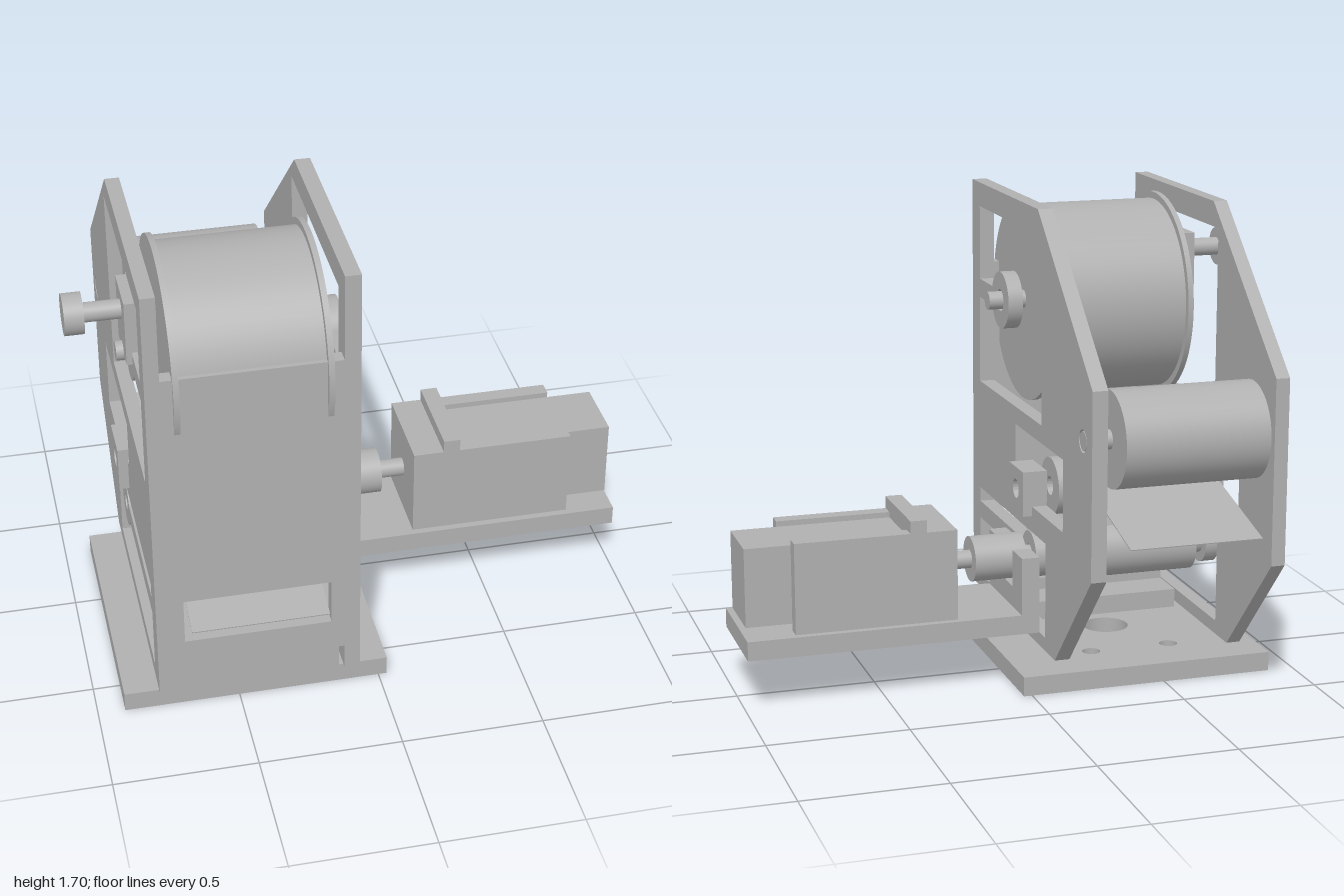
import * as THREE from 'three';
import { toCreasedNormals } from 'three/addons/utils/BufferGeometryUtils.js';

export function createModel() {
  const model = new THREE.Group();
  model.name = 'rollFeeder';
  const grey = new THREE.MeshStandardMaterial({ color: 0xb0b0b0 });
  grey.name = 'plain grey';

  const add = (name, geometry) => {
    const mesh = new THREE.Mesh(geometry, grey);
    mesh.name = name;
    model.add(mesh);
    return mesh;
  };
  // Box given by its limits on each axis
  const box = (name, x0, x1, y0, y1, z0, z1) =>
    add(name, new THREE.BoxGeometry(x1 - x0, y1 - y0, z1 - z0)
      .translate((x0 + x1) / 2, (y0 + y1) / 2, (z0 + z1) / 2));
  // Round bar along x
  const rod = (name, x0, x1, y, z, r) =>
    add(name, new THREE.CylinderGeometry(r, r, x1 - x0, 64)
      .rotateZ(Math.PI / 2).translate((x0 + x1) / 2, y, z));
  const poly = (pts) => new THREE.Shape(pts.map((p) => new THREE.Vector2(...p)));
  const rect = (a0, a1, b0, b1) => poly([[a0, b0], [a1, b0], [a1, b1], [a0, b1]]);
  const circle = (a, b, r) => {
    const s = new THREE.Shape();
    s.absarc(a, b, r, 0, Math.PI * 2);
    return s;
  };
  const extrude = (shape, holes, depth) => {
    shape.holes.push(...holes);
    return toCreasedNormals(new THREE.ExtrudeGeometry(shape,
      { depth, bevelEnabled: false, curveSegments: 32 }), 0.5);
  };
  // Outline in (z, y), extruded along x
  const slab = (name, x0, x1, shape, holes) =>
    add(name, extrude(shape, holes, x1 - x0).rotateY(-Math.PI / 2).translate(x1, 0, 0));
  // Thin sloping sheet between two points in (z, y)
  const sheet = (name, x0, x1, z0, y0, z1, y1) => {
    const mesh = add(name, new THREE.BoxGeometry(x1 - x0, 0.004, Math.hypot(z1 - z0, y1 - y0)));
    mesh.position.set((x0 + x1) / 2, (y0 + y1) / 2, (z0 + z1) / 2);
    mesh.rotation.x = -Math.atan2(y1 - y0, z1 - z0);
  };

  // Base plate with its mounting holes
  const cx = -0.44, cz = 0.165;
  const baseHoles = [circle(cx, -cz, 0.085)];
  for (const i of [-1, 1]) for (const j of [-1, 1])
    baseHoles.push(circle(cx + i * 0.15, -cz + j * 0.27, 0.033));
  add('basePlate', extrude(rect(-0.905, 0.03, -0.635, 0.305), baseHoles, 0.07).rotateX(-Math.PI / 2));
  box('baseBlock', -0.735, -0.145, 0.07, 0.215, 0.36, 0.64);
  box('baseLedge', -0.735, -0.145, 0.1, 0.17, 0.21, 0.36);

  // Two side plates, with arms that carry the shafts in the windows
  for (const [side, x0, x1] of [['right', -0.79, -0.74], ['left', -0.14, -0.085]]) {
    slab(side + 'SidePlate', x0, x1,
      poly([[0.71, 0.12], [0.71, 1.7], [-0.09, 1.7], [-0.68, 1.18], [-0.68, 0.52], [-0.3, 0.12]]), [
        rect(-0.14, 0.615, 0.94, 1.61),
        rect(-0.38, 0.165, 0.615, 0.875),
        rect(-0.19, 0.615, 0.17, 0.52),
        circle(-0.585, 0.99, 0.04),
      ]);
    box(side + 'SpoolArm', x0, x1, 1.265, 1.335, 0.44, 0.62);
    slab(side + 'SpoolHub', x0, x1, circle(0.355, 1.3, 0.105), [circle(0.355, 1.3, 0.04)]);
    box(side + 'DriveArm', x0, x1, 0.4, 0.465, 0.07, 0.62);
    slab(side + 'DriveHub', x0, x1, circle(0, 0.43, 0.085), [circle(0, 0.43, 0.036)]);
    const out = side === 'right' ? [-0.825, -0.74] : [-0.14, -0.05];
    slab(side + 'BearingBlock', out[0], out[1], rect(-0.035, 0.13, 0.58, 0.745),
      [circle(0.05, 0.665, 0.035)]);
    box(side + 'BearingGuide', x0, x1, 0.61, 0.7, 0.125, 0.166);
  }

  // Front panel with the exit slot
  add('frontPanel', extrude(rect(-0.741, -0.139, 0.215, 1.39),
    [rect(-0.695, -0.185, 0.33, 0.5)], 0.05).translate(0, 0, 0.66));

  // Large spool
  rod('spoolDrum', -0.69, -0.185, 1.3, 0.355, 0.35);
  rod('spoolRimRight', -0.7, -0.68, 1.3, 0.355, 0.375);
  rod('spoolRimLeft', -0.195, -0.175, 1.3, 0.355, 0.375);
  rod('spoolAxle', -0.835, -0.035, 1.3, 0.355, 0.033);

  // Hand knob on its bracket
  slab('knobBracket', -0.81, -0.74, rect(0.26, 0.45, 1.3, 1.53), []);
  rod('knobShaft', -0.95, -0.7, 1.46, 0.355, 0.033);
  rod('knobCollar', -0.72, -0.7, 1.46, 0.355, 0.045);
  rod('knob', -1, -0.935, 1.46, 0.355, 0.07);

  // Rear roller
  rod('rearRoller', -0.695, -0.18, 0.99, -0.585, 0.17);
  rod('rearAxle', -0.789, -0.086, 0.99, -0.585, 0.034);

  // Pinch roller (hollow) and drive roller
  slab('pinchRoller', -0.695, -0.18, circle(0.05, 0.665, 0.105), [circle(0.05, 0.665, 0.035)]);
  rod('driveRoller', -0.695, -0.18, 0.43, 0, 0.105);
  slab('driveShaftSleeve', -0.79, -0.69, circle(0, 0.43, 0.05), [circle(0, 0.43, 0.03)]);

  // Guide sheets
  sheet('upperSheet', -0.675, -0.2, 0.16, 0.875, -0.75, 0.645);
  sheet('lowerSheet', -0.675, -0.2, 0.755, 0.4, 0.42, 0.468);
  sheet('lowerTray', -0.69, -0.18, 0.42, 0.468, -0.39, 0.632);

  // Motor bracket, with a notch for the coupling
  box('motorShelf', -0.06, 0.995, 0.195, 0.265, -0.2, 0.2);
  slab('motorUpright', -0.06, 0.005, poly([[-0.2, 0.26], [0.2, 0.26], [0.2, 0.475],
    [0.085, 0.475], [0.085, 0.34], [-0.085, 0.34], [-0.085, 0.475], [-0.2, 0.475]]), []);
  rod('driveShaft', -0.2, 0.25, 0.43, 0, 0.033);
  rod('coupling', -0.05, 0.14, 0.43, 0, 0.082);

  // Motor held by rails and a strap
  box('motorFront', 0.235, 0.405, 0.265, 0.595, -0.175, 0.175);
  box('motorBody', 0.4, 0.985, 0.29, 0.575, -0.12, 0.12);
  box('motorStrap', 0.345, 0.405, 0.59, 0.64, -0.175, 0.175);
  for (const s of [-1, 1])
    box(s > 0 ? 'frontRail' : 'rearRail', 0.4, 0.82, 0.265, 0.595,
      s > 0 ? 0.12 : -0.175, s > 0 ? 0.175 : -0.12);

  return model;
}
